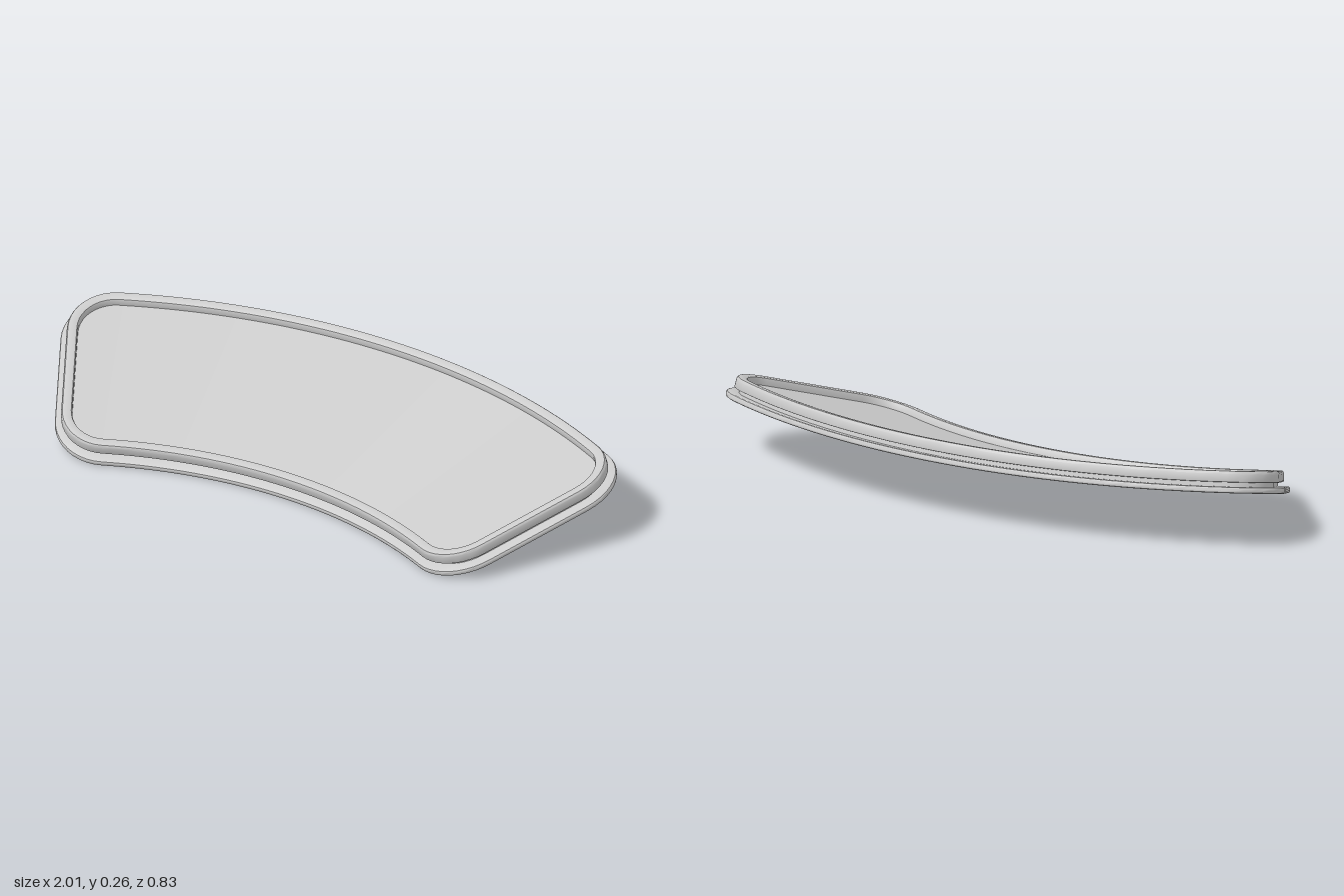
import * as THREE from 'three';
import { toCreasedNormals } from 'three/addons/utils/BufferGeometryUtils.js';

const CZ = 1.64;                 // z of the cone axis
const R_OUT = 2.06, R_IN = 1.38; // outer and inner arc radii
const CORNER = 0.17;             // corner rounding
const HALF = Math.PI / 6;        // half of the sector angle
const SIDE = 0.045;              // side edge offset from the radial line
const SLOPE = 0.3;               // rise of the cone per unit of radius

// One long edge, right to left: corner, arc, mirrored corner (points with outward normals)
function longEdge(radius, sign) {
  const dist = radius - sign * CORNER;
  const off = SIDE - CORNER;
  const t = Math.sqrt(dist * dist - off * off);
  const cx = t * Math.sin(HALF) + off * Math.cos(HALF);
  const cz = CZ - t * Math.cos(HALF) + off * Math.sin(HALF);
  const bearing = Math.atan2(cx, CZ - cz);
  const end = Math.atan2(sign * (cz - CZ), sign * cx);
  let delta = end - HALF;
  if (delta > Math.PI) delta -= 2 * Math.PI;
  if (delta < -Math.PI) delta += 2 * Math.PI;
  const corner = [];
  for (let k = 0; k <= 10; k++) {
    const a = HALF + delta * k / 10;
    const nx = Math.cos(a), nz = Math.sin(a);
    corner.push({ x: cx + CORNER * nx, z: cz + CORNER * nz, nx, nz });
  }
  const arc = [];
  for (let k = 1; k < 48; k++) {
    const b = bearing * (1 - 2 * k / 48);
    const s = Math.sin(b), c = Math.cos(b);
    arc.push({ x: radius * s, z: CZ - radius * c, nx: sign * s, nz: -sign * c });
  }
  const mirrored = corner.map(p => ({ ...p, x: -p.x, nx: -p.nx })).reverse();
  return [...corner, ...arc, ...mirrored];
}

const outer = longEdge(R_OUT, 1);
const inner = longEdge(R_IN, -1);
const outline = [...outer, ...[...inner].reverse()];

// Place an outline point on the cone, inset from the edge and raised along the normal
function place(p, [inset, h]) {
  const x = p.x - p.nx * inset, z = p.z - p.nz * inset;
  const r = Math.hypot(x, z - CZ);
  const len = Math.hypot(1, SLOPE);
  const tilt = SLOPE / len * h;
  return [x - x / r * tilt, SLOPE * (r - R_IN) + h / len, z + (CZ - z) / r * tilt];
}

function quad(out, a, b, c, d) {
  out.push(...a, ...b, ...c, ...a, ...c, ...d);
}

// Sweep a section of [inset, height] points round the outline
function sweep(out, section) {
  for (let i = 0; i < section.length - 1; i++) {
    outline.forEach((p, j) => {
      const q = outline[(j + 1) % outline.length];
      quad(out, place(p, section[i]), place(q, section[i]),
        place(q, section[i + 1]), place(p, section[i + 1]));
    });
  }
}

// Fill the outline with strips running between the two long edges
function fill(out, level, up) {
  for (let k = 0; k < outer.length - 1; k++) {
    const c = [outer[k], outer[k + 1], inner[k + 1], inner[k]].map(p => place(p, level));
    if (!up) c.reverse();
    quad(out, ...c);
  }
}

function part(name, positions) {
  const g = new THREE.BufferGeometry();
  g.setAttribute('position', new THREE.Float32BufferAttribute(positions, 3));
  const mesh = new THREE.Mesh(toCreasedNormals(g, 0.6),
    new THREE.MeshStandardMaterial({ color: 0xcccccc }));
  mesh.name = name;
  return mesh;
}

export function createModel() {
  const group = new THREE.Group();
  group.name = 'curvedTray';

  // Base plate with a thin lip and a recessed neck
  const lip = [[0.006, 0], [0.002, 0.002], [0, 0.007], [0, 0.014], [0.002, 0.018],
    [0.006, 0.02], [0.038, 0.02], [0.038, 0.034]];
  const base = [];
  fill(base, lip[0], false);
  sweep(base, lip);
  group.add(part('basePlate', base));

  // Raised rim overhanging the neck
  const rimSection = [[0.038, 0.034], [0.024, 0.034], [0.021, 0.035], [0.02, 0.038],
    [0.02, 0.06], [0.021, 0.065], [0.024, 0.069], [0.029, 0.07],
    [0.047, 0.07], [0.052, 0.068], [0.055, 0.062], [0.055, 0.045]];
  const rim = [];
  sweep(rim, rimSection);
  group.add(part('rim', rim));

  // Recessed panel inside the rim
  const panel = [];
  fill(panel, [0.055, 0.045], true);
  group.add(part('panel', panel));

  return group;
}
